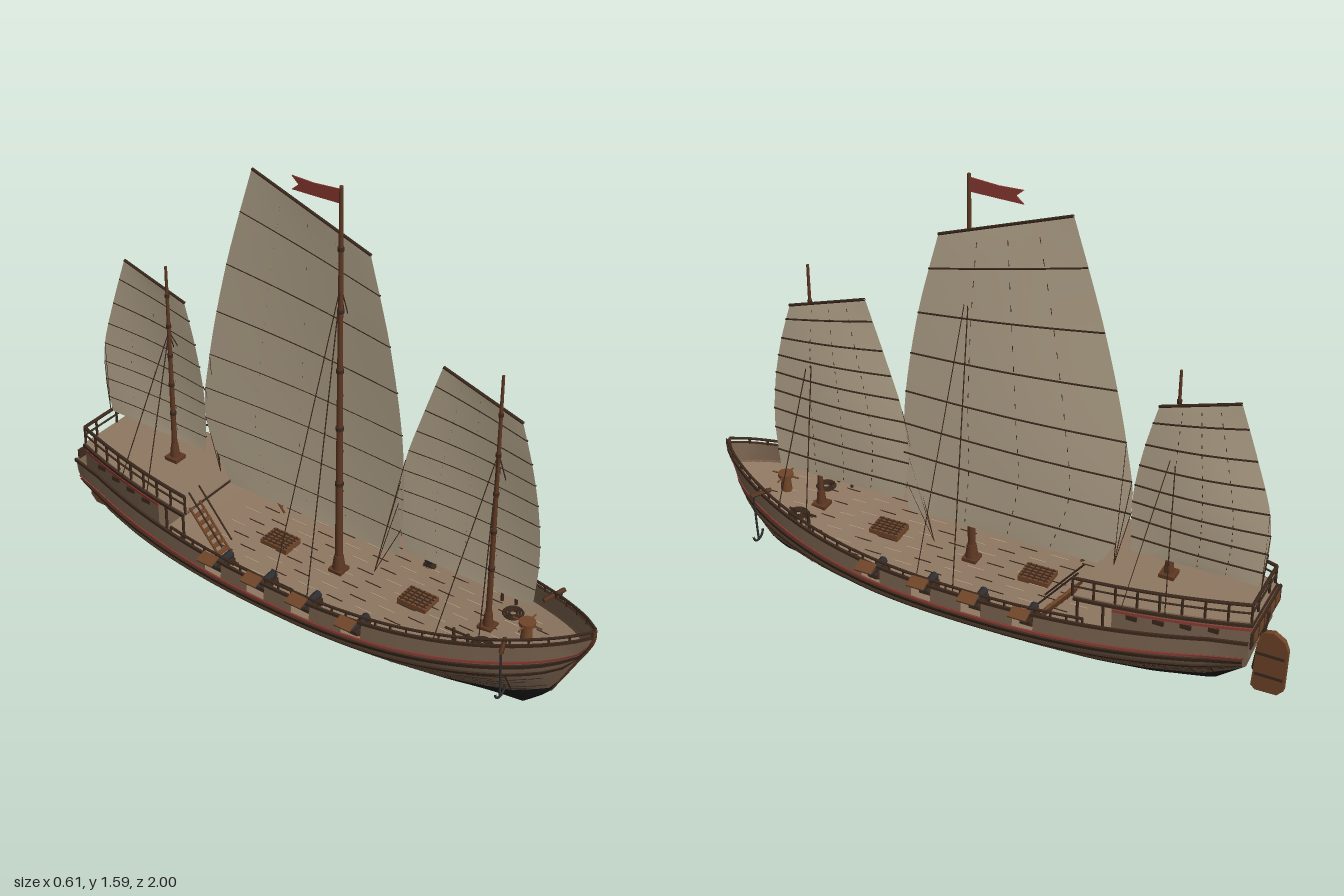
import * as THREE from 'three';
import { mergeGeometries, toCreasedNormals } from 'three/addons/utils/BufferGeometryUtils.js';

const V = (x, y, z) => new THREE.Vector3(x, y, z);
const mat = (name, color, side = THREE.FrontSide) => {
  const m = new THREE.MeshStandardMaterial({ color, side });
  m.name = name;
  return m;
};

// Hull lines: keel height, sheer height, half beam, waterline and section fullness
const table = (pts, q) => {
  if (q <= pts[0][0]) return pts[0][1];
  for (let i = 1; i < pts.length; i++) {
    const [a, b] = [pts[i - 1], pts[i]];
    if (q <= b[0]) return a[1] + (b[1] - a[1]) * (q - a[0]) / (b[0] - a[0]);
  }
  return pts[pts.length - 1][1];
};
const KEEL = [[-0.87, 0.13], [-0.77, 0.05], [-0.6, 0.015], [-0.45, 0.004], [0.3, 0.004], [0.57, 0.02], [0.78, 0.05], [0.865, 0.13], [0.93, 0.26], [0.995, 0.39]];
const FULL = [[0, 0.03], [0.1, 0.22], [0.22, 0.43], [0.35, 0.63], [0.53, 0.85], [0.65, 0.95], [0.77, 1], [1, 0.97]];
const keel = z => table(KEEL, z);
const sheer = z => 0.297 + (z > 0 ? 0.115 * z ** 2.2 : 0.06 * z * z);
const beam = z => 0.271 * (z > 0 ? Math.max(0, 1 - (z / 0.995) ** 2.5) ** 0.82 : 1 - 0.478 * (-z / 0.91) ** 2.3);
const water = z => 0.115 + 0.06 * z * z;
const deckY = z => sheer(z) - 0.068;
function hullPoint(z, y, side, out = 0) {
  const k = keel(z), yy = Math.max(y, k);
  const t = Math.min(1, (yy - k) / Math.max(0.001, sheer(z) - k));
  const lean = Math.max(0, (-0.8 - z) / 0.07) * 0.045 * t;
  return V(side * (beam(z) * table(FULL, t) + out), yy, z - lean);
}

// Surface over a grid; its normal is (step in u) x (step in v)
function grid(nu, nv, fn) {
  const pos = [], idx = [];
  for (let i = 0; i <= nu; i++) for (let j = 0; j <= nv; j++) pos.push(...fn(i / nu, j / nv).toArray());
  for (let i = 0; i < nu; i++) for (let j = 0; j < nv; j++) {
    const a = i * (nv + 1) + j, b = a + nv + 1;
    idx.push(a, b, b + 1, a, b + 1, a + 1);
  }
  const g = new THREE.BufferGeometry();
  g.setAttribute('position', new THREE.Float32BufferAttribute(pos, 3));
  g.setIndex(idx);
  return toCreasedNormals(g, 0.6);
}
// Strip of hull skin between two heights; raised strips get closed edges
function strip(side, z0, z1, n, lo, hi, rows = 1, out = 0) {
  const nu = out ? 3 : rows;
  return grid(nu, n, (u, v) => {
    const z = side > 0 ? z0 + (z1 - z0) * v : z1 + (z0 - z1) * v;
    const r = Math.round(u * 3), f = out ? (r > 1 ? 1 : 0) : u;
    return hullPoint(z, Math.max(lo(z), keel(z)) * (1 - f) + Math.max(hi(z), keel(z)) * f, side, out && (r === 1 || r === 2) ? out : 0);
  });
}
const box = (w, h, d, x, y, z, rz = 0) => new THREE.BoxGeometry(w, h, d).rotateZ(rz).translate(x, y, z);
function rod(a, b, r, r2 = r, seg = 6) {
  const d = b.clone().sub(a), g = new THREE.CylinderGeometry(r2, r, d.length(), seg);
  g.applyQuaternion(new THREE.Quaternion().setFromUnitVectors(V(0, 1, 0), d.normalize()));
  return g.translate((a.x + b.x) / 2, (a.y + b.y) / 2, (a.z + b.z) / 2);
}
const tube = (pts, r, n = 24) => new THREE.TubeGeometry(new THREE.CatmullRomCurve3(pts), n, r, 5);
// Side-on outline given as [z, y], with thickness in x
function plate(pts, t, x = 0) {
  const s = new THREE.Shape(pts.map(p => new THREE.Vector2(-p[0], p[1])));
  return new THREE.ExtrudeGeometry(s, { depth: t, bevelEnabled: false }).rotateY(Math.PI / 2).translate(x - t / 2, 0, 0);
}
// Horizontal slab following the beam
function slab(z0, z1, inset, y0, y1) {
  const s = new THREE.Shape(), n = 8;
  for (let i = 0; i <= n; i++) {
    const z = z0 + (z1 - z0) * i / n;
    i ? s.lineTo(beam(z) - inset, -z) : s.moveTo(beam(z) - inset, -z);
  }
  for (let i = n; i >= 0; i--) { const z = z0 + (z1 - z0) * i / n; s.lineTo(inset - beam(z), -z); }
  return new THREE.ExtrudeGeometry(s, { depth: y1 - y0, bevelEnabled: false }).rotateX(-Math.PI / 2).translate(0, y0, 0);
}

export function createModel() {
  const D = THREE.DoubleSide, ship = new THREE.Group();
  const sailcloth = mat('sailcloth', 0xc0b095, D), planks = mat('hull planks', 0x78624e, D), tar = mat('black tar', 0x1c1c1c, D);
  const trim = mat('dark trim', 0x3c291d, D), deckWood = mat('deck wood', 0x8f7862), spar = mat('spar wood', 0x5e3823);
  const red = mat('red paint', 0x8c3a32, D), oak = mat('warm oak', 0x6f4528), iron = mat('iron', 0x2e2e30), pale = mat('pale caulking', 0xb39c80);
  const part = (name, m, geos) => {
    const list = geos.map(g => {
      const c = g.index ? g.toNonIndexed() : g;
      c.deleteAttribute('uv');
      return c;
    });
    const o = new THREE.Mesh(mergeGeometries(list), m);
    o.name = name;
    ship.add(o);
  };
  const both = fn => [1, -1].flatMap(fn);
  const below = d => z => sheer(z) - d;
  const ports = [-0.23, -0.055, 0.12, 0.305];

  // Hull shell, with bulwarks open at the gun ports
  part('hullBottom', tar, both(s => [strip(s, -0.87, 0.995, 60, keel, water, 8)]));
  part('hullSides', planks, both(s => [strip(s, -0.87, 0.995, 60, water, below(0.06), 6)]));
  const edges = [-0.87, ...ports.flatMap(p => [p - 0.034, p + 0.034]), 0.995];
  part('bulwarks', planks, both(s => [0, 2, 4, 6, 8].map(i => strip(s, edges[i], edges[i + 1], i % 8 ? 3 : 24, below(0.06), sheer))));
  part('transom', planks, [grid(10, 6, (u, v) => {
    const p = hullPoint(-0.87, 0.13 + u * (sheer(-0.87) - 0.13), 1);
    return V(p.x * (2 * v - 1), p.y, p.z);
  })]);

  // Wales, sheer cap, seams and ribs
  part('wales', trim, both(s => [[0.088, 0.074], [0.122, 0.112], [0.006, -0.004]].map(([a, b]) => strip(s, -0.87, 0.995, 48, below(a), below(b), 1, 0.008))));
  part('redStripe', red, both(s => [strip(s, -0.87, 0.995, 48, below(0.068), below(0.061), 1, 0.004)]));
  const seams = [];
  for (let k = 0; k < 6; k++) for (let z = -0.84 + (k % 3) * 0.04; z < 0.8; z += 0.13) {
    const y = q => water(q) + (sheer(q) - 0.12 - water(q)) * (k + 0.6) / 6.5;
    seams.push(...both(s => [strip(s, z, z + 0.11, 4, q => y(q) - 0.0012, q => y(q) + 0.0012, 1, 0.0015)]));
  }
  part('plankSeams', trim, seams);
  part('ribs', trim, both(s => [-0.8, -0.6, -0.4, -0.13, 0.04, 0.22, 0.4, 0.6, 0.78].map(z => strip(s, z - 0.002, z + 0.002, 1, water, below(0.12), 1, 0.003))));
  part('stem', spar, [tube([V(0, 0.435, 0.99), V(0, 0.39, 0.988), V(0, 0.26, 0.925), V(0, 0.14, 0.862)], 0.009)]);

  // Main deck with caulking lines
  part('deck', deckWood, [grid(40, 8, (u, v) => {
    const z = -0.87 + 1.84 * u, p = hullPoint(z, deckY(z), 1);
    return V(p.x * (2 * v - 1), p.y, z);
  })]);
  const lines = [[], []];
  for (let i = -5; i <= 5; i++) for (let k = 0; k < 11; k++) {
    const z = -0.34 + k * 0.11 + (i & 1) * 0.05, x = i * 0.042;
    if (Math.abs(x) < beam(z + 0.04) - 0.04) lines[(i + k) & 1].push(box(0.003, 0.002, 0.06, x, deckY(z) + 0.002, z));
  }
  part('deckCaulking', pale, lines[0]);
  part('deckSeams', trim, lines[1]);

  // Bulwark rail on short posts
  part('bulwarkRails', trim, both(s => {
    const pts = [], posts = [];
    for (let i = 0; i <= 28; i++) {
      const z = -0.42 + 1.41 * i / 28, p = hullPoint(z, sheer(z), s);
      pts.push(V(p.x, p.y + 0.02, z));
      posts.push(rod(p, pts[i], 0.004));
    }
    return [tube(pts, 0.005, 56), ...posts];
  }));

  // Stern cabin and quarterdeck
  part('sternCabin', planks, [slab(-0.5, -0.905, 0.032, 0.25, 0.375)]);
  part('cabinStripe', red, [slab(-0.5, -0.907, 0.029, 0.357, 0.366)]);
  part('quarterdeckEdge', trim, [slab(-0.38, -0.912, 0.026, 0.373, 0.383)]);
  part('quarterdeck', deckWood, [slab(-0.38, -0.908, 0.034, 0.376, 0.388)]);
  part('quarterdeckPosts', trim, both(s => [-0.39, -0.47].map(z => rod(V(s * (beam(z) - 0.04), 0.25, z), V(s * (beam(z) - 0.04), 0.375, z), 0.005))));
  part('sternPanel', trim, [box(0.27, 0.06, 0.006, 0, 0.338, -0.916)]);
  part('sternWindows', oak, [-0.1, -0.05, 0, 0.05, 0.1].map(x => box(0.036, 0.036, 0.006, x, 0.338, -0.918)));
  part('cabinWindows', trim, both(s => [-0.56, -0.64, -0.72, -0.8].map(z => box(0.012, 0.016, 0.035, s * (beam(z) - 0.034), 0.346, z))));
  const railPts = both(s => [[]].map(() => Array.from({ length: 9 }, (_, i) => {
    const z = -0.375 - 0.53 * (s > 0 ? i : 8 - i) / 8;
    return V(s * (beam(z) - 0.036), 0, z);
  }))).flat();
  const path = [...railPts.slice(0, 9), V(0.05, 0, -0.905), V(-0.05, 0, -0.905), ...railPts.slice(9)];
  const rails = [];
  path.forEach((p, i) => {
    rails.push(rod(V(p.x, 0.385, p.z), V(p.x, 0.45, p.z), 0.0045));
    const q = path[i + 1];
    if (q) [0.42, 0.45].forEach(y => rails.push(rod(V(p.x, y, p.z), V(q.x, y, q.z), y > 0.43 ? 0.006 : 0.0035)));
  });
  part('quarterdeckRail', trim, rails);

  // Ladders to the quarterdeck
  part('ladders', oak, both(s => [
    ...[0.14, 0.19].map(x => rod(V(s * x, 0.232, -0.25), V(s * x, 0.39, -0.38), 0.005, 0.005, 4)),
    ...[1, 2, 3, 4, 5, 6].map(i => box(0.05, 0.005, 0.016, s * 0.165, 0.232 + 0.022 * i, -0.25 - 0.018 * i))]));
  part('ladderHandrails', trim, both(s => [0.14, 0.19].map(x => rod(V(s * x, 0.29, -0.25), V(s * x, 0.45, -0.38), 0.003))));

  // Guns with open port lids
  part('gunBarrels', iron, both(s => ports.map(z => rod(V(s * 0.17, 0.262, z), V(s * 0.262, 0.266, z), 0.014, 0.009, 10))));
  part('gunCarriages', trim, both(s => ports.flatMap(z => [box(0.075, 0.014, 0.03, s * 0.205, 0.244, z),
    ...[-1, 1].flatMap(e => [0.18, 0.23].map(x => rod(V(s * x, 0.238, z + e * 0.014), V(s * x, 0.238, z + e * 0.021), 0.009, 0.009, 8)))])));
  part('portLids', oak, both(s => ports.map(z => box(0.042, 0.006, 0.06, s * 0.286, 0.311, z, -s * 0.3))));

  // Deck fittings
  part('hatches', oak, [-0.16, 0.38].map(z => box(0.08, 0.022, 0.105, 0, deckY(z) + 0.008, z)));
  part('hatchGratings', trim, [-0.16, 0.38].flatMap(z => [-2, -1, 0, 1, 2].flatMap(i => [
    box(0.004, 0.003, 0.1, i * 0.015, deckY(z) + 0.02, z), box(0.075, 0.003, 0.004, 0, deckY(z) + 0.02, z + i * 0.02)])));
  part('capstan', oak, [rod(V(0, 0.285, 0.77), V(0, 0.345, 0.77), 0.02, 0.015, 12), rod(V(0, 0.345, 0.77), V(0, 0.358, 0.77), 0.026, 0.026, 12),
    rod(V(-0.05, 0.35, 0.77), V(0.05, 0.35, 0.77), 0.003), rod(V(0, 0.35, 0.72), V(0, 0.35, 0.82), 0.003)]);
  part('ropeCoils', trim, both(s => [0.013, 0.022, 0.031].map(r => new THREE.TorusGeometry(r, 0.004, 5, 16).rotateX(Math.PI / 2).translate(s * 0.09, deckY(0.67) + 0.005, 0.67))));
  part('bitts', trim, both(s => [rod(V(s * 0.14, 0.33, 0.57), V(s * 0.14, 0.335, 0.67), 0.004), rod(V(s * 0.14, 0.26, 0.6), V(s * 0.14, 0.34, 0.6), 0.006), rod(V(s * 0.14, 0.26, 0.65), V(s * 0.14, 0.34, 0.65), 0.006)]));
  part('catheads', spar, both(s => [rod(V(s * 0.11, 0.36, 0.76), V(s * 0.185, 0.37, 0.79), 0.008, 0.008, 4)]));
  part('anchors', iron, both(s => [rod(V(s * 0.175, 0.36, 0.785), V(s * 0.165, 0.19, 0.785), 0.004),
    new THREE.TorusGeometry(0.028, 0.004, 5, 12, Math.PI).rotateZ(Math.PI).translate(s * 0.165, 0.215, 0.785)]));

  // Rudder
  part('rudder', oak, [plate([[-0.89, 0.07], [-0.905, 0.055], [-0.975, 0.057], [-0.996, 0.08], [-0.999, 0.23], [-0.985, 0.265], [-0.95, 0.288], [-0.91, 0.28], [-0.9, 0.24]], 0.018)]);
  part('rudderStock', trim, [rod(V(0, 0.13, -0.895), V(0, 0.36, -0.922), 0.009), ...[0.12, 0.2].map(y => box(0.024, 0.01, 0.09, 0, y, -0.945))]);

  // Masts, battened sails, shrouds and sheets; luff and leech run from foot to head as [z, y]
  const rigs = [
    { name: 'fore', z: 0.635, top: 1.17, r: 0.01, base: 0.26, hound: 0.91, foot: 0.33, n: 9, sheet: V(0.02, 0.27, 0.2),
      luff: [[0.772, 0.402], [0.783, 0.57], [0.77, 0.73], [0.74, 0.88], [0.697, 1.024]], leech: [[0.311, 0.402], [0.284, 0.57], [0.305, 0.74], [0.36, 0.92], [0.424, 1.11]] },
    { name: 'main', z: 0.075, top: 1.59, r: 0.013, base: 0.22, hound: 1.27, foot: 0.3, n: 8, sheet: V(0.03, 0.39, -0.43),
      luff: [[0.29, 0.37], [0.302, 0.59], [0.29, 0.82], [0.24, 1.11], [0.166, 1.389]], leech: [[-0.38, 0.37], [-0.475, 0.59], [-0.45, 0.84], [-0.37, 1.19], [-0.263, 1.539]] },
    { name: 'mizzen', z: -0.6, top: 1.115, r: 0.01, base: 0.38, hound: 0.88, foot: 0.39, n: 8, sheet: V(0.02, 0.45, -0.9),
      luff: [[-0.483, 0.456], [-0.477, 0.58], [-0.483, 0.7], [-0.51, 0.85], [-0.547, 0.992]], leech: [[-0.89, 0.456], [-0.912, 0.58], [-0.905, 0.72], [-0.855, 0.89], [-0.794, 1.067]] }];
  for (const g of rigs) {
    const [l, r] = [g.luff, g.leech].map(e => new THREE.SplineCurve(e.map(p => new THREE.Vector2(...p))));
    const cloth = (u, v, off = 0) => {
      const p = l.getPoint(v).lerp(r.getPoint(v), u);
      return V(0.02 + off + 0.014 * Math.sin(Math.PI * u) * Math.sin(Math.PI * v), p.y, p.x);
    };
    part(g.name + 'Sail', sailcloth, [grid(24, 12, (v, u) => cloth(u, v))]);
    const battens = [];
    for (let i = 1; i <= g.n; i++) battens.push(tube([0, 0.25, 0.5, 0.75, 1].map(u => cloth(u, i / g.n, 0.002)), i === g.n ? 0.005 : 0.003, 12));
    part(g.name + 'Battens', trim, battens);
    const stitches = [];
    for (const u of [0.3, 0.52, 0.74]) for (let v = 0.03; v < 0.97; v += 0.05) stitches.push(rod(cloth(u, v, 0.001), cloth(u, v + 0.015, 0.001), 0.0012, 0.0012, 4));
    part(g.name + 'Stitching', trim, stitches);
    part(g.name + 'Mast', spar, [rod(V(0, g.base, g.z), V(0, g.top, g.z), g.r, g.r * 0.45, 10),
      rod(V(0, g.base, g.z), V(0, g.base + 0.07, g.z), g.r * 1.9, g.r * 1.2, 10), box(0.05, 0.018, 0.05, 0, g.base + 0.012, g.z)]);
    part(g.name + 'MastBands', trim, [0.25, 0.4, 0.55, 0.7, 0.85].map(t => {
      const y = g.base + (g.top - g.base) * t;
      return rod(V(0, y, g.z), V(0, y + 0.012, g.z), g.r * (1.2 - 0.5 * t), g.r * (1.2 - 0.5 * t), 10);
    }));
    const ropes = both(s => [-0.065, 0.065].map(d => rod(V(0, g.hound, g.z), V(s * (beam(g.z + d) - 0.01), g.foot, g.z + d), 0.0018, 0.0018, 4)));
    for (const v of [0.125, 0.25, 0.375, 0.5]) ropes.push(rod(cloth(1, v), g.sheet, 0.0012, 0.0012, 4));
    part(g.name + 'Rigging', trim, ropes);
  }

  // Swallow-tailed pennant
  part('pennant', red, [plate([[0.075, 1.58], [-0.02, 1.572], [-0.1, 1.574], [-0.075, 1.552], [-0.1, 1.53], [-0.02, 1.532], [0.075, 1.535]], 0.004)]);
  return ship;
}
